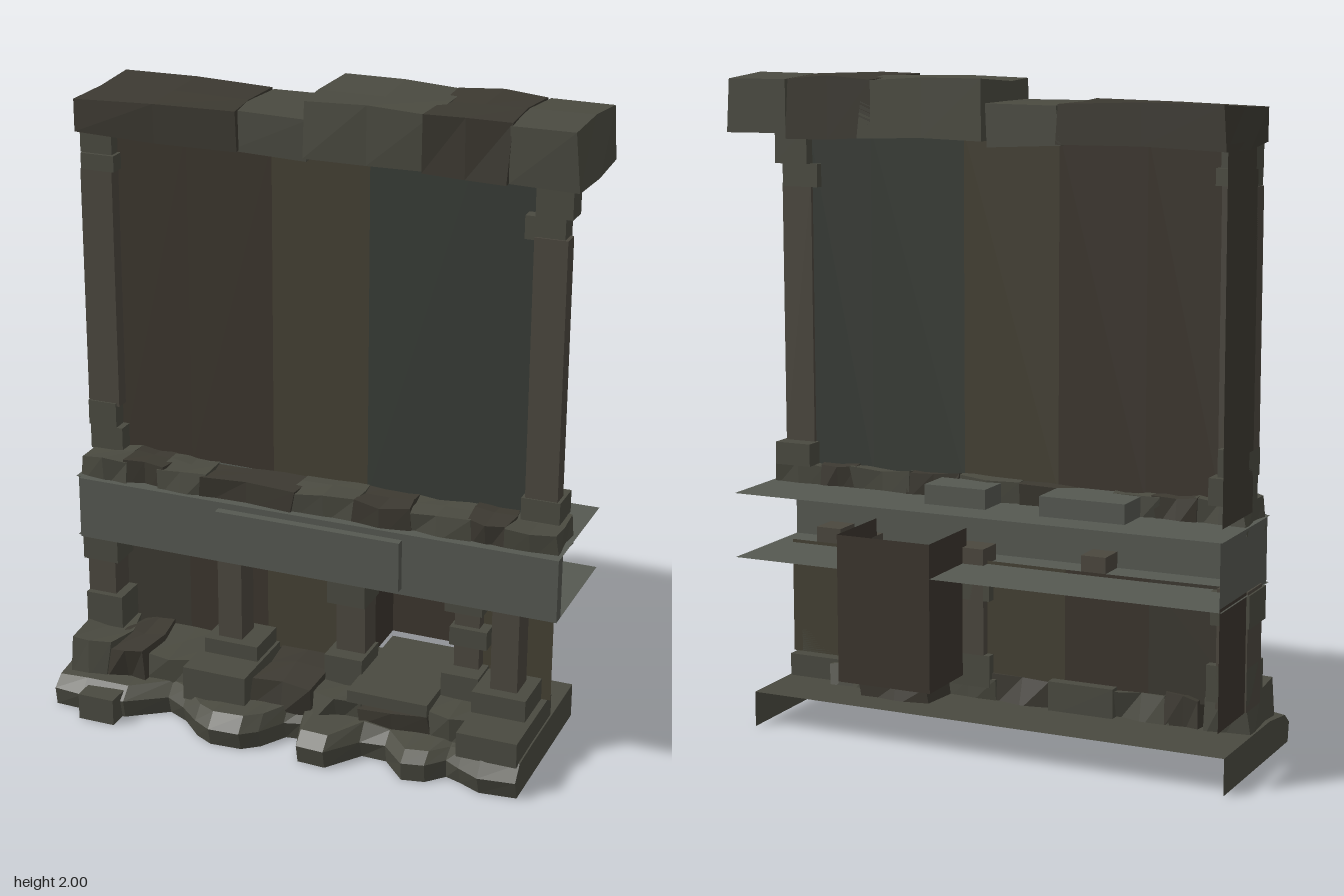
import * as THREE from 'three';

const mat = (color) => new THREE.MeshStandardMaterial({ color, flatShading: true, side: THREE.DoubleSide });
const stone = mat(0x4a4a40), dark = mat(0x3c3931), pale = mat(0x555851), brown = mat(0x3b352d),
  olive = mat(0x444033), green = mat(0x383c36), pillar = mat(0x4b473e);

export function createModel() {
  const root = new THREE.Group();
  const add = (name, geo, m) => {
    const mesh = new THREE.Mesh(geo, m);
    mesh.name = name;
    root.add(mesh);
  };

  // Box given by its limits
  const boxGeo = (x0, x1, y0, y1, z0, z1, sx = 1, sy = 1, sz = 1) =>
    new THREE.BoxGeometry(x1 - x0, y1 - y0, z1 - z0, sx, sy, sz)
      .translate((x0 + x1) / 2, (y0 + y1) / 2, (z0 + z1) / 2);
  const box = (name, m, ...b) => add(name, boxGeo(...b), m);

  // Rough stone: every corner is pulled inwards by a repeatable amount
  const hash = (x, y, z, k) => {
    const s = Math.sin(x * 127.1 + y * 311.7 + z * 74.7 + k * 53.3) * 43758.5453;
    return s - Math.floor(s);
  };
  const rock = (name, m, b, rough = 0.03, segs = 2, flatBack = false) => {
    const g = boxGeo(...b, segs, 1, 2), p = g.attributes.position;
    const c = [(b[0] + b[1]) / 2, (b[2] + b[3]) / 2, (b[4] + b[5]) / 2];
    for (let i = 0; i < p.count; i++) {
      const v = [p.getX(i), p.getY(i), p.getZ(i)].map((n) => Math.round(n * 1000) / 1000);
      const w = v.map((n, k) => n - Math.sign(Math.round((n - c[k]) * 100)) * rough * hash(...v, k) * (k === 1 ? 0.7 : 1));
      if (flatBack && v[2] < b[4] + 0.01) w[2] = v[2];
      p.setXYZ(i, ...w);
    }
    g.computeVertexNormals();
    add(name, g, m);
  };

  // Upright wall panels along a plan line
  const panel = (name, m, [xa, za], [xb, zb], y0, y1) => {
    const g = new THREE.BufferGeometry();
    g.setAttribute('position', new THREE.Float32BufferAttribute(
      [xa, y0, za, xb, y0, zb, xb, y1, zb, xa, y1, za], 3));
    g.setIndex([0, 1, 2, 0, 2, 3]);
    g.computeVertexNormals();
    add(name, g, m);
  };
  const wall = (name, pts, mats, y0, y1) => {
    for (let i = 0; i + 1 < pts.length; i++) panel(name, mats[i], pts[i], pts[i + 1], y0, y1);
  };

  // Upper wall between the pillars, and the return wall at one end
  wall('upperWall', [[-0.69, -0.06], [-0.45, -0.055], [-0.17, -0.05], [0.14, -0.05], [0.45, -0.055], [0.66, -0.06]],
    [brown, brown, olive, green, green], 0.77, 1.83);
  panel('returnWall', dark, [-0.785, -0.31], [-0.785, -0.065], 0.77, 1.83);
  // Lower wall with a deep niche
  wall('lowerWall', [[-0.78, -0.31], [-0.78, -0.06], [-0.47, -0.065], [-0.2, -0.065], [0.13, -0.06], [0.13, -0.31],
    [0.44, -0.31], [0.44, -0.06], [0.74, -0.06]],
    [brown, dark, brown, olive, brown, brown, brown, olive], 0.18, 0.54);
  wall('nicheTop', [[0.13, -0.06], [0.13, -0.31], [0.44, -0.31], [0.44, -0.06]], [brown, brown, brown], 0.54, 0.635);

  // Capping stones
  rock('capStoneLow', dark, [-0.8, -0.26, 1.805, 1.94, -0.31, 0.02], 0.03, 2, true);
  rock('capStoneLow', stone, [-0.3, -0.04, 1.8, 1.93, -0.31, 0.0], 0.03, 1, true);
  rock('capStoneHigh', stone, [-0.065, 0.36, 1.81, 2.0, -0.31, 0.02], 0.025, 2, true);
  rock('capStoneMiddle', dark, [0.31, 0.6, 1.81, 2.0, -0.31, 0.035], 0.025, 2, true);
  rock('capStoneEnd', stone, [0.57, 0.8, 1.81, 2.0, -0.31, 0.035], 0.025, 1, true);

  // Upper pillars with bases and capitals
  const upper = [
    [-0.785, -0.68, 0.94, 1.7, -0.07, -0.015], [-0.78, -0.67, 0.79, 0.87, -0.12, -0.01], [-0.785, -0.69, 0.87, 0.95, -0.1, -0.01],
    [-0.78, -0.67, 1.7, 1.75, -0.095, -0.01], [-0.785, -0.68, 1.75, 1.83, -0.08, -0.02],
    [0.65, 0.75, 0.85, 1.66, -0.07, -0.015], [0.64, 0.76, 0.79, 0.86, -0.12, -0.01],
    [0.62, 0.74, 1.65, 1.72, -0.085, -0.02], [0.65, 0.76, 1.72, 1.83, -0.095, -0.02],
  ];
  upper.forEach((b) => box('upperPillar', b[3] - b[2] > 0.5 ? pillar : stone, ...b));

  // Beam: front boards, shelves behind it and its end
  box('beamFront', pale, -0.77, 0.795, 0.53, 0.73, 0.06, 0.1);
  box('beamBoard', pale, -0.29, 0.31, 0.55, 0.71, 0.09, 0.127);
  const shelf = (x0, x1, y) =>
    add('beamShelf', new THREE.PlaneGeometry(x1 - x0, 0.4).rotateX(-Math.PI / 2).translate((x0 + x1) / 2, y, -0.11), pale);
  shelf(-0.785, 0.795, 0.73);
  shelf(-0.785, 0.13, 0.53);
  shelf(0.44, 0.795, 0.53);
  panel('beamEnd', pale, [-0.78, -0.31], [-0.78, 0.08], 0.53, 0.73);

  // Loose stones on the beam
  const ledge = [-0.785, -0.62, -0.5, -0.36, -0.06, 0.15, 0.31, 0.5, 0.62, 0.795];
  for (let i = 0; i + 1 < ledge.length; i++)
    rock('ledgeStone', i % 2 ? dark : stone,
      [ledge[i] - (i ? 0.02 : 0), ledge[i + 1] + (i < 8 ? 0.02 : 0), 0.69, 0.8 + 0.01 * hash(i, 1, 2, 0), -0.1,
        0.075 + 0.02 * hash(i, 5, 1, 0)], 0.025, 2);
  box('ledgeBlock', pale, -0.45, -0.18, 0.73, 0.79, -0.21, -0.05);
  box('ledgeBlock', pale, 0.0, 0.2, 0.73, 0.79, -0.2, -0.05);

  // Lower pillars
  const lower = [
    [-0.785, -0.69, 0.18, 0.54, -0.09, 0.03], [-0.785, -0.66, 0.2, 0.31, -0.09, 0.05], [-0.79, -0.67, 0.43, 0.53, -0.09, 0.05],
    [-0.315, -0.235, 0.24, 0.58, -0.03, 0.06], [-0.35, -0.17, 0.19, 0.25, -0.06, 0.09],
    [0.06, 0.155, 0.25, 0.58, -0.09, 0.0], [0.04, 0.165, 0.15, 0.25, -0.09, 0.05], [0.04, 0.165, 0.42, 0.53, -0.09, 0.03],
    [0.44, 0.52, 0.18, 0.58, -0.09, -0.02], [0.42, 0.54, 0.18, 0.26, -0.09, 0.04],
    [0.43, 0.55, 0.34, 0.4, -0.09, 0.0], [0.42, 0.54, 0.46, 0.53, -0.09, 0.02],
    [0.585, 0.67, 0.25, 0.58, -0.03, 0.06], [0.54, 0.71, 0.17, 0.25, -0.06, 0.1],
  ];
  lower.forEach((b) => box('lowerPillar', b[3] - b[2] > 0.25 ? pillar : stone, ...b));

  // Rubble between base and wall
  const rubble = [
    [-0.8, -0.62, 0.07, 0.22, -0.1, 0.2], [-0.66, -0.51, 0.07, 0.21, -0.1, 0.19], [-0.56, -0.34, 0.07, 0.2, -0.1, 0.16],
    [-0.18, 0.06, 0.07, 0.2, -0.1, 0.17], [0.02, 0.22, 0.07, 0.18, -0.1, 0.17], [0.17, 0.44, 0.07, 0.17, -0.22, 0.16],
    [0.4, 0.58, 0.07, 0.19, -0.15, 0.17],
  ];
  rubble.forEach((b, i) => rock('rubble', i % 2 ? dark : stone, b, 0.035));
  box('steppedPlinth', stone, -0.37, -0.16, 0.09, 0.2, -0.1, 0.21);
  box('steppedPlinth', stone, 0.16, 0.42, 0.165, 0.205, -0.23, 0.16);
  box('steppedPlinth', stone, 0.54, 0.73, 0.1, 0.18, -0.1, 0.235);
  box('baseBlock', stone, -0.69, -0.57, 0, 0.085, 0.2, 0.305);

  // Hollow rocky base: sections along x from front foot to back edge
  const front = [[-0.8, 0.25], [-0.7, 0.26], [-0.56, 0.25], [-0.44, 0.17], [-0.37, 0.21], [-0.3, 0.27], [-0.24, 0.305],
    [-0.14, 0.3], [-0.09, 0.26], [-0.04, 0.18], [0.01, 0.165], [0.05, 0.295], [0.14, 0.3], [0.22, 0.2], [0.3, 0.19],
    [0.38, 0.27], [0.45, 0.255], [0.5, 0.2], [0.55, 0.23], [0.62, 0.265], [0.735, 0.25]];
  const pos = [], idx = [], rows = 5;
  front.forEach(([x, z], i) => {
    const t = hash(i, 2, 3, 0);
    pos.push(x, 0, z - 0.02 * t, x, 0.06, z + 0.005, x, 0.085 + 0.03 * t, z - 0.035, x, 0.11, 0.08, x, 0.11, -0.31);
    if (i) for (let j = 0; j + 1 < rows; j++) {
      const a = (i - 1) * rows + j, b = a + rows;
      idx.push(a, b, b + 1, a, b + 1, a + 1);
    }
  });
  // End faces of the base
  [0, front.length - 1].forEach((i) => {
    const a = i * rows, c = pos.length / 3;
    pos.push(front[i][0], 0, -0.31);
    for (let j = 0; j + 1 < rows; j++) idx.push(...(i ? [c, a + j + 1, a + j] : [c, a + j, a + j + 1]));
  });
  const base = new THREE.BufferGeometry();
  base.setAttribute('position', new THREE.Float32BufferAttribute(pos, 3));
  base.setIndex(idx);
  base.computeVertexNormals();
  add('rockyBase', base, stone);

  return root;
}
